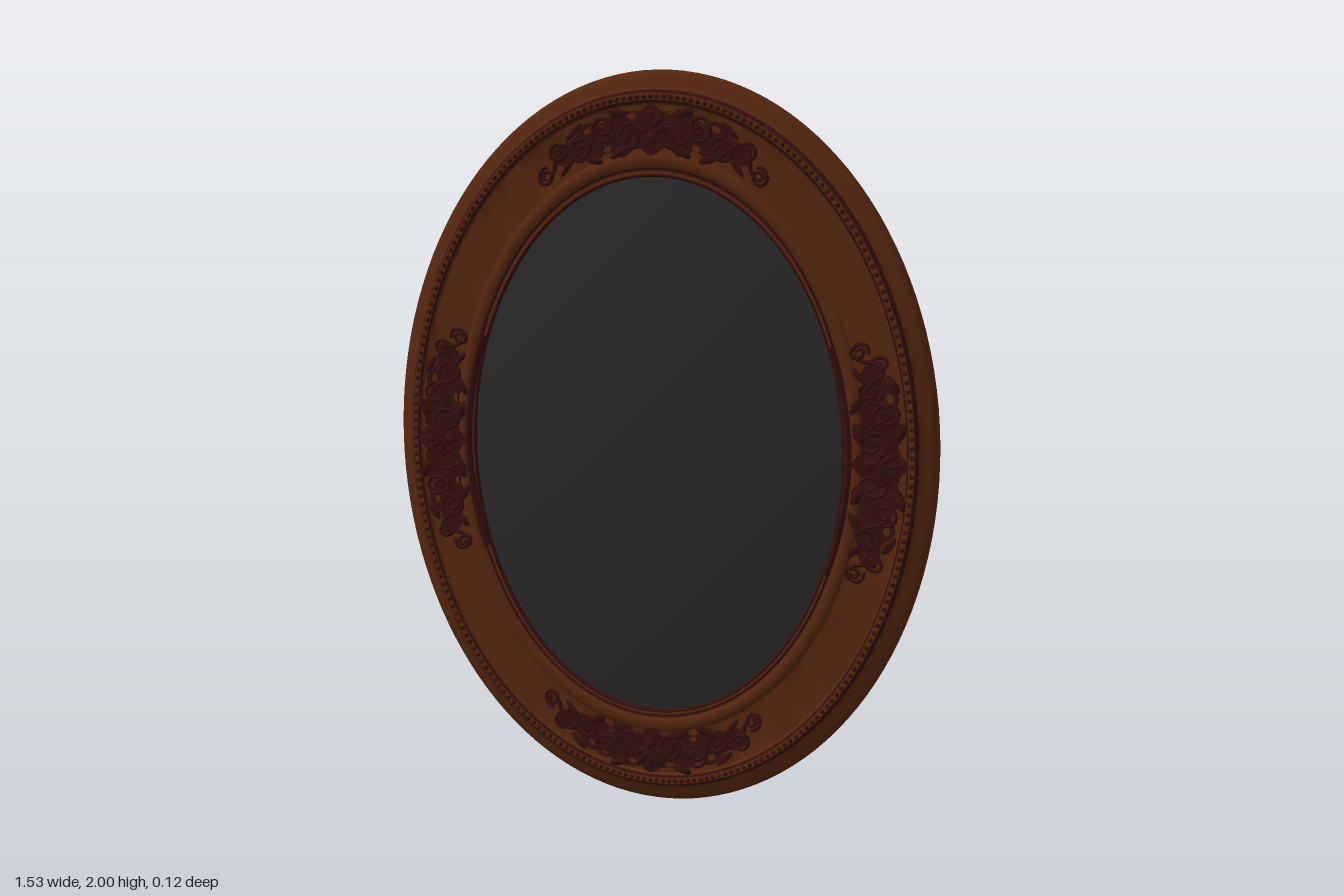
import * as THREE from 'three';
import { mergeGeometries, toCreasedNormals } from 'three/addons/utils/BufferGeometryUtils.js';

const mat = (name, color, side = THREE.FrontSide) => {
  const m = new THREE.MeshStandardMaterial({ color, side });
  m.name = name;
  return m;
};

// Point on the oval frame: v = 0 at the opening, v = 1 at the outer rim
const oval = (t, v, z) => new THREE.Vector3(
  (0.52 + 0.245 * v) * Math.cos(t), 1 + (0.727 + 0.273 * v) * Math.sin(t), z);

// Sweep a [v, z] profile round the oval
function sweep(profile, segs = 128) {
  const pos = [], idx = [], n = profile.length;
  for (let i = 0; i < segs; i++)
    for (const [v, z] of profile) pos.push(...oval(i / segs * Math.PI * 2, v, z).toArray());
  for (let i = 0; i < segs; i++)
    for (let j = 0; j < n - 1; j++) {
      const a = i * n + j, b = ((i + 1) % segs) * n + j;
      idx.push(a, a + 1, b, b, a + 1, b + 1);
    }
  const g = new THREE.BufferGeometry();
  g.setAttribute('position', new THREE.Float32BufferAttribute(pos, 3));
  g.setIndex(idx);
  return toCreasedNormals(g, 0.7);
}

// Join loose pieces into one geometry with creased normals
function join(list) {
  const parts = list.map(g => {
    const p = g.index ? g.toNonIndexed() : g;
    p.deleteAttribute('uv');
    return p;
  });
  return toCreasedNormals(mergeGeometries(parts), 0.8);
}

// One carved scroll group, centred at an angle on the frame
function carving(angle, R, v0, widen, vine) {
  const place = (p, q, z) => oval(angle - p / R, v0 + q * widen / 0.26, z);
  const parts = [];
  const tube = (pts, r) => {
    const curve = new THREE.CatmullRomCurve3(pts.map(([p, q]) => place(p, q, 0.01)));
    parts.push(new THREE.TubeGeometry(curve, pts.length * 2, r, 6));
  };
  const leaf = (p, q, l, w, turn) => {
    const g = new THREE.SphereGeometry(1, 10, 6).scale(l, w, 0.007).rotateZ(turn);
    const a = g.attributes.position;
    for (let i = 0; i < a.count; i++) {
      const s = place(p + a.getX(i), q + a.getY(i), 0.01 + a.getZ(i));
      a.setXYZ(i, s.x, s.y, s.z);
    }
    parts.push(g);
  };

  // pierced, scalloped ground
  const edge = [], N = 60;
  const half = p => 0.062 * Math.sqrt(Math.max(0, 1 - (p / 0.27) ** 2)) * (0.82 + 0.18 * Math.cos(p * 75));
  for (let i = 0; i <= N; i++) { const p = -0.27 + 0.54 * i / N; edge.push(place(p, half(p), 0)); }
  for (let i = N - 1; i > 0; i--) { const p = -0.27 + 0.54 * i / N; edge.push(place(p, -half(p), 0)); }
  const ground = new THREE.Shape(edge.map(e => new THREE.Vector2(e.x, e.y)));
  for (const s of [-1, 1])
    for (const [p, q] of [[0.05, 0.038], [0.125, -0.03], [0.165, 0.03]]) {
      const hole = [];
      for (let k = 0; k < 10; k++) {
        const a = k / 10 * Math.PI * 2;
        const h = place(s * p + 0.014 * Math.cos(a), q + 0.009 * Math.sin(a), 0);
        hole.push(new THREE.Vector2(h.x, h.y));
      }
      ground.holes.push(new THREE.Path(hole));
    }
  parts.push(new THREE.ExtrudeGeometry(ground, { depth: 0.01, bevelEnabled: false }));

  for (const s of [-1, 1]) {
    // spirals: centre, radius, start angle, direction
    for (const [p, q, r, a0, dir] of [[0.055, -0.015, 0.038, 2.6, 1], [0.125, 0.022, 0.036, -2.6, -1],
      [0.195, -0.012, 0.032, 2.6, 1], [0.255, 0.02, 0.024, -2.4, -1], [0.305, -0.018, 0.024, 2.2, 1]]) {
      const pts = [];
      for (let k = 0; k <= 18; k++) {
        const f = k / 18, a = a0 - dir * f * Math.PI * 3.2, d = r * (1 - 0.8 * f);
        pts.push([s * (p + d * Math.cos(a)), q + d * Math.sin(a)]);
      }
      tube(pts, 0.0055);
    }
    // stem running through the scrolls
    const stem = [];
    for (let k = 0; k <= 14; k++) stem.push([s * 0.3 * k / 14, 0.03 * Math.sin(k * 1.25)]);
    tube(stem, 0.006);
    // leaves
    for (const [p, q, l, w, turn] of [[0.09, -0.045, 0.03, 0.011, -0.3], [0.165, -0.045, 0.028, 0.01, 0.5],
      [0.085, 0.05, 0.026, 0.01, 0.5], [0.2, 0.042, 0.028, 0.009, -0.4], [0.245, -0.03, 0.026, 0.008, -0.4]])
      leaf(s * p, q, l, w, s * turn);
    if (vine) {
      const rim = [];
      for (let k = 0; k <= 10; k++) rim.push([s * 0.035 * k, -0.068 - 0.0006 * k]);
      tube(rim, 0.01);
    }
  }
  // central palmette
  for (let k = -2; k <= 2; k++) leaf(Math.sin(k * 0.6) * 0.03, -0.01 + Math.cos(k * 0.6) * 0.035, 0.026, 0.009, Math.PI / 2 - k * 0.6);
  leaf(0, -0.02, 0.017, 0.017, 0);
  return join(parts);
}

export function createModel() {
  const wood = mat('wood', 0x56270f);
  const carved = mat('carved wood', 0x35100e);
  const glass = mat('dark glass', 0x2a2a2a);
  const board = mat('backing board', 0x46351f);
  const steel = mat('steel', 0x8c8c8c);
  const iron = mat('dark iron', 0x2e2e2e);
  const model = new THREE.Group();
  const add = (name, geo, m, parent = model) => {
    const mesh = new THREE.Mesh(geo, m);
    mesh.name = name;
    parent.add(mesh);
    return mesh;
  };

  // Moulded frame, front opening round to the back rebate
  add('frame', sweep([[0, -0.045], [0, -0.004], [0.02, 0.003], [0.05, 0.003], [0.065, -0.002], [0.085, 0.004],
    [0.12, 0.009], [0.17, 0.009], [0.21, 0.005], [0.23, 0], [0.45, -0.001], [0.67, 0.001], [0.69, 0.008], [0.72, 0.012],
    [0.77, 0.012], [0.79, 0.004], [0.82, -0.004], [0.87, -0.011], [0.92, -0.015], [0.96, -0.021], [0.99, -0.031],
    [1, -0.042], [0.99, -0.055], [0.965, -0.063], [0.94, -0.065], [0.37, -0.065], [0.365, -0.045], [0, -0.045]]
    .reverse()
    .reverse()), wood);

  // Dark lines in the moulding
  add('innerLine', sweep([[-0.005, -0.01], [-0.005, 0], [0.012, 0.005], [0.024, 0.003]]), carved);
  add('lipGroove', sweep([[0.05, 0.0035], [0.066, -0.0012], [0.08, 0.0035]]), carved);
  add('beadRail', sweep([[0.685, 0.008], [0.695, 0.0105], [0.71, 0.0125]]), carved);
  add('outerLine', sweep([[0.775, 0.0125], [0.795, 0.0045], [0.81, 0]]), carved);

  // Row of beads
  const beads = [];
  for (let i = 0; i < 240; i++) {
    const c = oval(i / 240 * Math.PI * 2, 0.742, 0.012);
    beads.push(new THREE.SphereGeometry(0.0065, 6, 4).translate(c.x, c.y, c.z));
  }
  add('beads', join(beads), carved);

  // Carvings at top, bottom and both sides
  for (const [name, k, R, v0, widen, vine] of [['leftCarving', 0, 0.84, 0.4, 1.25, true], ['topCarving', 1, 0.61, 0.43, 1, false],
    ['rightCarving', 2, 0.84, 0.4, 1.25, true], ['bottomCarving', 3, 0.61, 0.43, 1, false]])
    add(name, carving(k * Math.PI / 2, R, v0, widen, vine), carved);

  // Domed glass
  const dome = [];
  for (let i = 0; i <= 14; i++) {
    const r = 1.01 * (1 - i / 14);
    dome.push(new THREE.Vector2(r, 0.06 - 0.066 * r * r));
  }
  const domeGeo = new THREE.LatheGeometry(dome, 96).rotateX(Math.PI / 2).scale(0.52, 0.727, 1).translate(0, 1, 0);
  glass.side = THREE.DoubleSide;
  add('domedGlass', domeGeo, glass);

  // Backing board
  add('backingBoard', new THREE.CylinderGeometry(1, 1, 0.006, 96).rotateX(Math.PI / 2)
    .scale(0.609, 0.826, 1).translate(0, 1, -0.045), board);

  // Retaining clips
  for (let k = 0; k < 4; k++) {
    const clip = new THREE.Group();
    clip.name = 'clip';
    add('clipFoot', new THREE.BoxGeometry(0.034, 0.024, 0.004).translate(-0.02, 0.006, -0.002), steel, clip);
    add('clipStep', new THREE.BoxGeometry(0.026, 0.024, 0.004).translate(0.006, -0.004, -0.006), steel, clip);
    add('clipScrew', new THREE.CylinderGeometry(0.007, 0.007, 0.004, 12).rotateX(Math.PI / 2).translate(-0.022, 0.006, -0.006), iron, clip);
    const a = k * Math.PI / 2;
    clip.position.set(0.59 * Math.cos(a), 1 + 0.8 * Math.sin(a), -0.048);
    clip.rotation.z = a;
    model.add(clip);
  }

  // Hangers: plate, screw and ring, pointing along the wire
  for (const s of [-1, 1]) {
    const hanger = new THREE.Group();
    hanger.name = s > 0 ? 'leftHanger' : 'rightHanger';
    add('hangerPlate', new THREE.BoxGeometry(0.05, 0.032, 0.005).translate(0.012, 0, -0.0025), iron, hanger);
    add('hangerScrew', new THREE.CylinderGeometry(0.009, 0.009, 0.004, 12).rotateX(Math.PI / 2).translate(0.018, 0, -0.007), steel, hanger);
    add('hangerRing', new THREE.TorusGeometry(0.017, 0.0035, 6, 20).translate(-0.024, 0, -0.005), iron, hanger);
    hanger.position.set(s * 0.41, 1.375, -0.048);
    hanger.rotation.z = s > 0 ? 0.35 : Math.PI - 0.35;
    model.add(hanger);
  }

  // Twisted hanging wire: two strands wound round a sagging curve
  for (const phase of [0, Math.PI]) {
    const pts = [];
    for (let i = 0; i <= 160; i++) {
      const u = i / 80 - 1, a = i * 0.8 + phase;
      pts.push(new THREE.Vector3(0.375 * u, 1.305 + 0.06 * u * u + 0.0025 * Math.cos(a), -0.053 + 0.0025 * Math.sin(a)));
    }
    add('hangingWire', new THREE.TubeGeometry(new THREE.CatmullRomCurve3(pts), 320, 0.0025, 5), iron);
  }
  return model;
}
